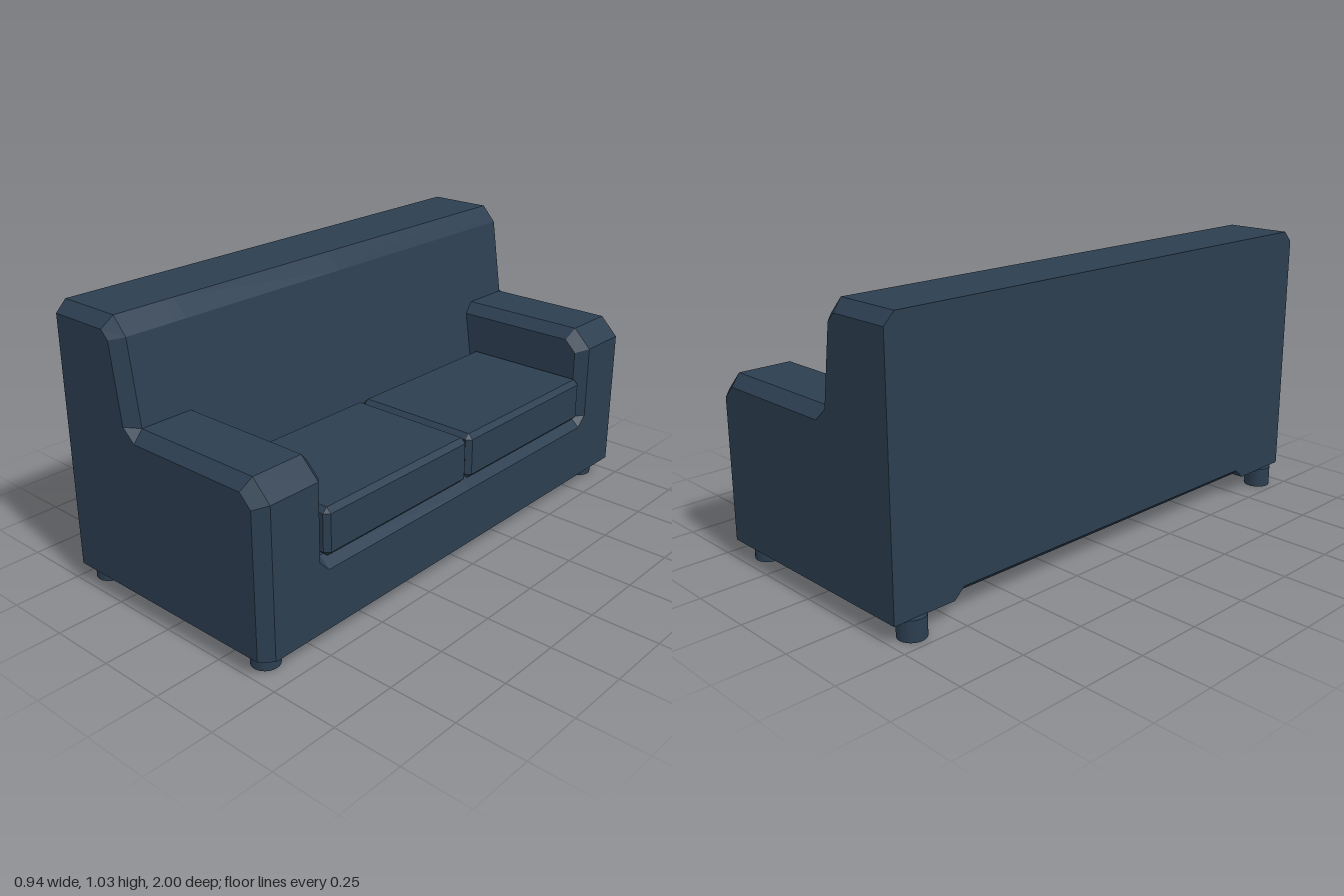
import * as THREE from 'three';
import { ConvexGeometry } from 'three/addons/geometries/ConvexGeometry.js';

const fabric = new THREE.MeshStandardMaterial({ color: 0x2c3e50, flatShading: true });
const footMaterial = new THREE.MeshStandardMaterial({ color: 0x2c3e50 });

// Side outlines (x, y), counter-clockwise from the bottom back corner
const back = [[-0.15, 0.975], [-0.205, 1.035], [-0.455, 1.035]];
const endFace = [[-0.455, 0.073], [-0.41, 0.073], [0.43, 0.073], [0.43, 0.29], [0.43, 0.33], [0.43, 0.595],
  [0.385, 0.64], [-0.1, 0.64], [-0.15, 0.685], [-0.19, 0.965], [-0.22, 0.995], [-0.455, 0.995]];
const arm = [[-0.455, 0.073], [-0.41, 0.073], [0.47, 0.073], [0.47, 0.29], [0.47, 0.33], [0.47, 0.61],
  [0.4, 0.68], [-0.106, 0.68], [-0.106, 0.68], ...back];
const armInner = [[-0.455, 0.11], [-0.41, 0.073], [0.47, 0.073], [0.47, 0.29], [0.43, 0.325], [0.43, 0.595],
  [0.385, 0.64], [-0.1, 0.64], [-0.1, 0.64], ...back];
const seat = [[-0.455, 0.11], [-0.41, 0.073], [0.47, 0.073], [0.47, 0.29], [0.43, 0.325], [0.43, 0.325],
  [0.385, 0.325], [-0.053, 0.325], [-0.053, 0.325], ...back];

// Joins the outlines from the end to the middle and mirrors every triangle in z
function bodyGeometry() {
  const sections = [[1, endFace], [0.96, arm], [0.76, arm], [0.72, armInner], [0.72, seat], [0, seat]];
  const positions = [];
  const triangle = (a, b, c) => {
    const area = new THREE.Triangle(...[a, b, c].map((p) => new THREE.Vector3(...p))).getArea();
    if (area < 1e-7) return;
    positions.push(...a, ...b, ...c);
    for (const [x, y, z] of [a, c, b]) positions.push(x, y, -z);
  };
  const rings = sections.map(([z, outline]) => outline.map(([x, y]) => [x, y, z]));
  for (let i = 0; i < rings.length - 1; i++) {
    const A = rings[i], B = rings[i + 1];
    for (let j = 0; j < A.length; j++) {
      const k = (j + 1) % A.length;
      triangle(A[j], B[j], A[k]);
      triangle(A[k], B[j], B[k]);
    }
  }
  // Flat end panel
  const contour = endFace.map(([x, y]) => new THREE.Vector2(x, y));
  for (const [a, b, c] of THREE.ShapeUtils.triangulateShape(contour, [])) {
    triangle(rings[0][a], rings[0][b], rings[0][c]);
  }
  const geometry = new THREE.BufferGeometry();
  geometry.setAttribute('position', new THREE.Float32BufferAttribute(positions, 3));
  geometry.computeVertexNormals();
  return geometry;
}

// Box with every edge chamfered by c
function chamferedBox(w, h, d, c) {
  const points = [];
  for (const sx of [-1, 1]) for (const sy of [-1, 1]) for (const sz of [-1, 1]) {
    for (let full = 0; full < 3; full++) {
      const half = [w / 2, h / 2, d / 2].map((v, i) => (i === full ? v : v - c));
      points.push(new THREE.Vector3(sx * half[0], sy * half[1], sz * half[2]));
    }
  }
  return new ConvexGeometry(points);
}

export function createModel() {
  const sofa = new THREE.Group();
  sofa.name = 'sofa';
  const add = (name, geometry, material, x = 0, y = 0, z = 0) => {
    const mesh = new THREE.Mesh(geometry, material);
    mesh.name = name;
    mesh.position.set(x, y, z);
    sofa.add(mesh);
  };

  add('body', bodyGeometry(), fabric);

  // Two seat cushions side by side
  const cushion = chamferedBox(0.51, 0.172, 0.718, 0.018);
  for (const z of [0.355, -0.37]) add('seatCushion', cushion, fabric, 0.203, 0.404, z);

  // Round feet
  const foot = new THREE.CylinderGeometry(0.05, 0.05, 0.075, 24);
  for (const x of [-0.425, 0.37]) {
    for (const z of [-0.91, 0.91]) add('foot', foot, footMaterial, x, 0.0375, z);
  }
  return sofa;
}
